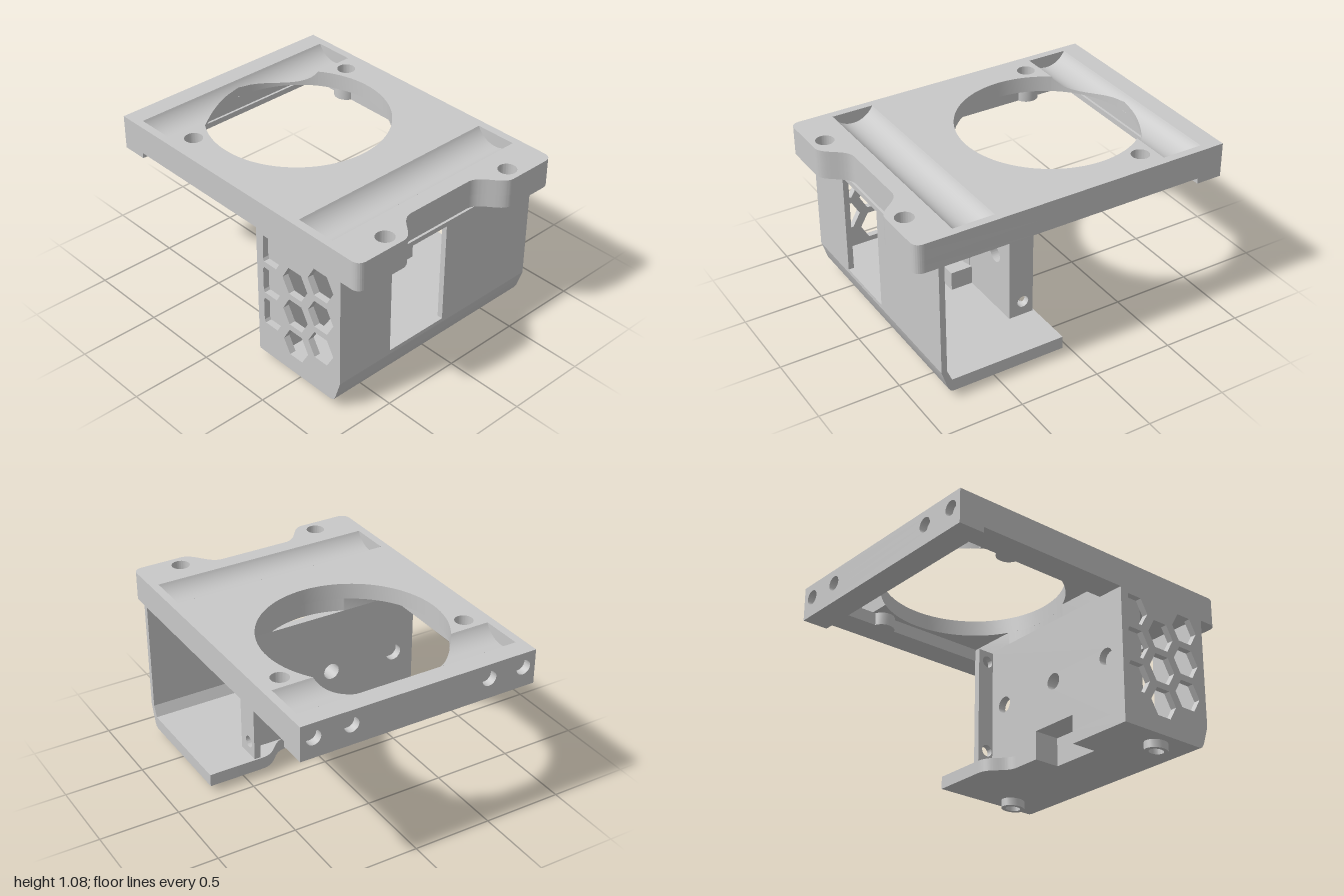
import * as THREE from 'three';
import { toCreasedNormals } from 'three/addons/utils/BufferGeometryUtils.js';

const grey = new THREE.MeshStandardMaterial({ color: 0xc8c8c8, side: THREE.DoubleSide });
grey.name = 'grey plastic';

export function createModel() {
  const model = new THREE.Group();

  function add(name, geometry) {
    const mesh = new THREE.Mesh(toCreasedNormals(geometry, 0.5), grey);
    mesh.name = name;
    model.add(mesh);
  }
  const extrude = (shape, depth) =>
    new THREE.ExtrudeGeometry(shape, { depth, bevelEnabled: false, curveSegments: 32 });
  // plan shapes use (x, -z) and rise from y0 to y1
  const plan = (s, y0, y1) => extrude(s, y1 - y0).rotateX(-Math.PI / 2).translate(0, y0, 0);
  // side shapes use (-z, y) and run from x0 to x1
  const side = (s, x0, x1) => extrude(s, x1 - x0).rotateY(Math.PI / 2).translate(x0, 0, 0);
  // front shapes use (x, y) and run from z0 to z1
  const front = (s, z0, z1) => extrude(s, z1 - z0).translate(0, 0, z0);
  const poly = (...p) => new THREE.Shape(p.map(([x, y]) => new THREE.Vector2(x, y)));
  const rect = (x0, x1, y0, y1) => poly([x0, y0], [x1, y0], [x1, y1], [x0, y1]);
  const disc = (x, y, r) => new THREE.Path().absarc(x, y, r, 0, Math.PI * 2);
  const box = (name, x0, x1, y0, y1, z0, z1) => add(name,
    new THREE.BoxGeometry(x1 - x0, y1 - y0, z1 - z0)
      .translate((x0 + x1) / 2, (y0 + y1) / 2, (z0 + z1) / 2));

  // Deck outline with rounded front corners and a flared notch
  function deckOutline() {
    const s = new THREE.Shape();
    s.moveTo(-0.75, 0.95);
    s.lineTo(-0.75, -0.94);
    s.quadraticCurveTo(-0.75, -1, -0.69, -1);
    s.lineTo(-0.43, -1);
    s.bezierCurveTo(-0.34, -1, -0.32, -0.85, -0.22, -0.85);
    s.lineTo(0.22, -0.85);
    s.bezierCurveTo(0.32, -0.85, 0.34, -1, 0.43, -1);
    s.lineTo(0.69, -1);
    s.quadraticCurveTo(0.75, -1, 0.75, -0.94);
    s.lineTo(0.75, 0.95);
    return s;
  }

  // Round opening whose rear part widens into a rectangle of half width w,
  // running from shape heights v0 to v1
  const R = 0.55;
  function keyhole(w, v0, v1) {
    const a = Math.asin((v0 - 0.3) / R), p = new THREE.Path();
    p.moveTo(-w, v1);
    p.lineTo(w, v1);
    p.lineTo(w, v0);
    p.absarc(0, 0.3, R, a, Math.PI - a, true);
    p.lineTo(-w, v0);
    p.closePath();
    return p;
  }

  // Upper deck layer: the opening runs into the rear groove
  const upper = deckOutline();
  upper.holes.push(keyhole(0.7, 0.62, 0.88), rect(-0.7, 0.7, -0.75, -0.49));
  for (const s of [-1, 1]) {
    upper.holes.push(disc(s * 0.6, 0.53, 0.055), disc(s * 0.475, -0.91, 0.055));
    add('screwBoss', new THREE.CylinderGeometry(0.075, 0.075, 0.08, 24).translate(s * 0.6, 0.94, -0.53));
  }
  add('upperDeck', plan(upper, 0.98, 1.08));

  // Lower deck layer: the underside is recessed around the opening
  const lower = deckOutline();
  lower.holes.push(keyhole(0.575, -0.19, 0.85));
  add('lowerDeck', plan(lower, 0.9, 0.98));

  // Rear edge with four blind holes, and the lip below it
  const rear = rect(-0.75, 0.75, 0.865, 1.08);
  for (const x of [-0.67, -0.44, 0.44, 0.67]) rear.holes.push(disc(x, 0.99, 0.046));
  add('rearEdge', front(rear, -1, -0.95));
  box('rearLip', -0.75, 0.75, 0.865, 0.9, -0.95, -0.835);

  // Round-bottomed grooves, trimmed where they meet the opening
  function groove(name, zc) {
    const pos = [], idx = [], n = 24;
    for (const s of [-1, 1]) {
      const base = pos.length / 3;
      for (let i = 0; i <= n; i++) {
        const dz = -0.13 * Math.cos(Math.PI * i / n), z = zc + dz;
        const y = 1.1456 - Math.sqrt(0.0212 - dz * dz);
        const x = Math.sqrt(Math.max(0, R * R - (z + 0.3) ** 2));
        pos.push(s * x, 0.98, z, s * x, y, z, s * 0.7, y, z);
        if (i === n) continue;
        for (let k = 0; k < 2; k++) {
          const p = base + i * 3 + k, q = p + 3;
          if (s > 0) idx.push(p, q, p + 1, p + 1, q, q + 1);
          else idx.push(p, p + 1, q, p + 1, q + 1, q);
        }
      }
    }
    const g = new THREE.BufferGeometry();
    g.setAttribute('position', new THREE.Float32BufferAttribute(pos, 3));
    g.setIndex(idx);
    add(name, g);
  }
  groove('rearGroove', -0.75);
  groove('frontGroove', 0.62);

  // Front wall with a tall window, and the sloping skirt under it
  const wall = rect(-0.75, 0.75, 0.2, 0.9);
  wall.holes.push(rect(-0.37, 0.05, 0.225, 0.87));
  add('frontWall', front(wall, 0.83, 0.865));
  add('frontSkirt', side(poly([-0.76, 0.05], [-0.79, 0.05], [-0.812, 0.058], [-0.826, 0.08],
    [-0.865, 0.2], [-0.83, 0.2], [-0.8, 0.13], [-0.76, 0.13]), -0.75, 0.75));

  // Side wall with a honeycomb grille
  const grille = poly([-0.84, 0.14], [-0.84, 0.9], [-0.2, 0.9], [-0.2, 0.05], [-0.785, 0.05]);
  for (let c = 0; c < 3; c++) {
    for (let r = 0; r < 3; r++) {
      const z = 0.71 - c * 0.205, y = 0.787 - r * 0.215 - (c % 2) * 0.107;
      const hex = [];
      for (let k = 0; k < 6; k++) {
        hex.push([-z + 0.101 * Math.cos(k * Math.PI / 3), y + 0.101 * Math.sin(k * Math.PI / 3)]);
      }
      grille.holes.push(poly(...hex));
    }
  }
  add('honeycombWall', side(grille, -0.75, -0.71));

  // Floor with a stepped rear edge and a connector notch
  const floor = poly([-0.75, -0.78], [0.75, -0.78], [0.75, -0.07], [0.4, -0.07]);
  floor.bezierCurveTo(0.28, -0.07, 0.28, -0.19, 0.17, -0.19);
  for (const [x, v] of [[0, -0.19], [0, -0.36], [-0.32, -0.36], [-0.32, -0.19], [-0.75, -0.19]]) floor.lineTo(x, v);
  add('floor', plan(floor, 0.05, 0.13));

  // Straight rear wall, notched at the bottom, with three holes
  const back = poly([-0.75, 0.05], [-0.32, 0.05], [-0.32, 0.23], [0, 0.23], [0, 0.05],
    [0.17, 0.05], [0.17, 0.13], [0.445, 0.13], [0.445, 0.9], [-0.75, 0.9]);
  for (const x of [-0.61, -0.16, 0.29]) back.holes.push(disc(x, 0.5, 0.052));
  add('rearWall', front(back, 0.19, 0.24));

  // Angled inner panel growing thicker towards the honeycomb side
  const panel = poly([-0.45, 0.13], [-0.32, 0.13], [-0.32, 0.23], [0, 0.23], [0, 0.9], [-0.45, 0.9]);
  panel.holes.push(disc(-0.16, 0.5, 0.052));
  const inner = front(panel, 0.24, 0.25);
  const p = inner.attributes.position;
  for (let i = 0; i < p.count; i++) {
    if (p.getZ(i) > 0.245) p.setZ(i, 0.242 - 0.138 * p.getX(i) / 0.45);
  }
  inner.computeVertexNormals();
  add('angledInnerPanel', inner);
  box('innerCornerBlock', -0.71, -0.45, 0.13, 0.9, 0.24, 0.38);

  // Housing around the notch
  box('notchFront', -0.34, 0.02, 0.05, 0.25, 0.36, 0.38);
  box('notchRoof', -0.34, 0.02, 0.23, 0.25, 0.24, 0.36);
  box('notchSide', -0.34, -0.32, 0.05, 0.25, 0.24, 0.36);
  box('notchSide', 0, 0.02, 0.05, 0.25, 0.24, 0.36);

  // Drilled flange standing behind the free end of the rear wall
  const flange = rect(-0.19, -0.08, 0.13, 0.89);
  flange.holes.push(disc(-0.147, 0.82, 0.037), disc(-0.147, 0.22, 0.037));
  add('drilledFlange', side(flange, 0.405, 0.445));

  // Ring feet
  const ring = [[0.05, 0.055], [0.05, 0], [0.08, 0], [0.08, 0.055]].map(([x, y]) => new THREE.Vector2(x, y));
  for (const s of [-1, 1]) {
    add('foot', new THREE.LatheGeometry(ring, 32).scale(0.78, 1, 1).translate(s * 0.632, 0, 0.55));
  }
  return model;
}
